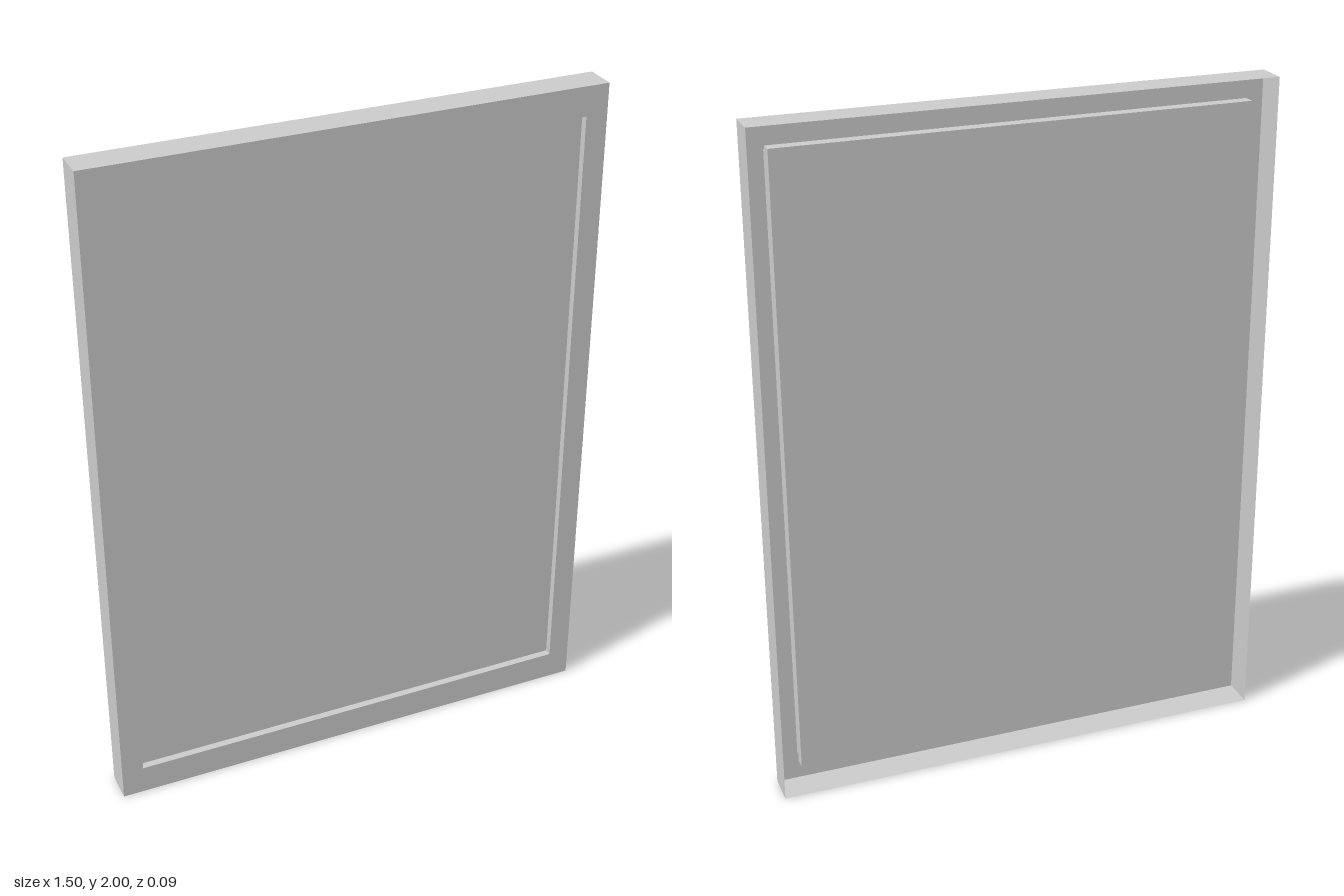
import * as THREE from 'three';

const W = 1.5, H = 2, D = 0.094;             // outer shell
const OW = 1.37, OH = 1.826, RECESS = 0.022; // front opening
const PW = 1.375, PH = 1.86, PD = 0.035;     // backing panel

const material = new THREE.MeshStandardMaterial({
  color: 0xcccccc, flatShading: true, side: THREE.DoubleSide,
});

function add(group, name, geometry, x = 0, y = 0, z = 0) {
  const mesh = new THREE.Mesh(geometry, material);
  mesh.name = name;
  mesh.position.set(x, y, z);
  group.add(mesh);
}

// Four thin walls around a w x h rectangle, running back from the front by depth
function addWalls(group, name, w, h, depth) {
  const z = (D - depth) / 2;
  for (const s of [1, -1]) {
    const side = new THREE.PlaneGeometry(depth, h).rotateY(s * Math.PI / 2);
    add(group, name + (s > 0 ? 'Left' : 'Right'), side, s * w / 2, H / 2, z);
    const cap = new THREE.PlaneGeometry(w, depth).rotateX(-s * Math.PI / 2);
    add(group, name + (s > 0 ? 'Top' : 'Bottom'), cap, 0, H / 2 + s * h / 2, z);
  }
}

function rectangle(path, w, h) {
  return path.moveTo(-w / 2, -h / 2).lineTo(w / 2, -h / 2)
    .lineTo(w / 2, h / 2).lineTo(-w / 2, h / 2).closePath();
}

export function createModel() {
  const model = new THREE.Group();
  model.name = 'framedPanel';

  // Flat front border with the panel opening cut out
  const border = rectangle(new THREE.Shape(), W, H);
  border.holes.push(rectangle(new THREE.Path(), OW, OH));
  add(model, 'frontBorder', new THREE.ShapeGeometry(border), 0, H / 2, D / 2);

  // Outer shell, open at the back
  addWalls(model, 'outerWall', W, H, D);

  // Shallow recess behind the opening
  addWalls(model, 'recessWall', OW, OH, RECESS);

  // Solid panel closing the recess, standing proud inside the open back
  add(model, 'panel', new THREE.BoxGeometry(PW, PH, PD), 0, H / 2, D / 2 - RECESS - PD / 2);

  return model;
}
